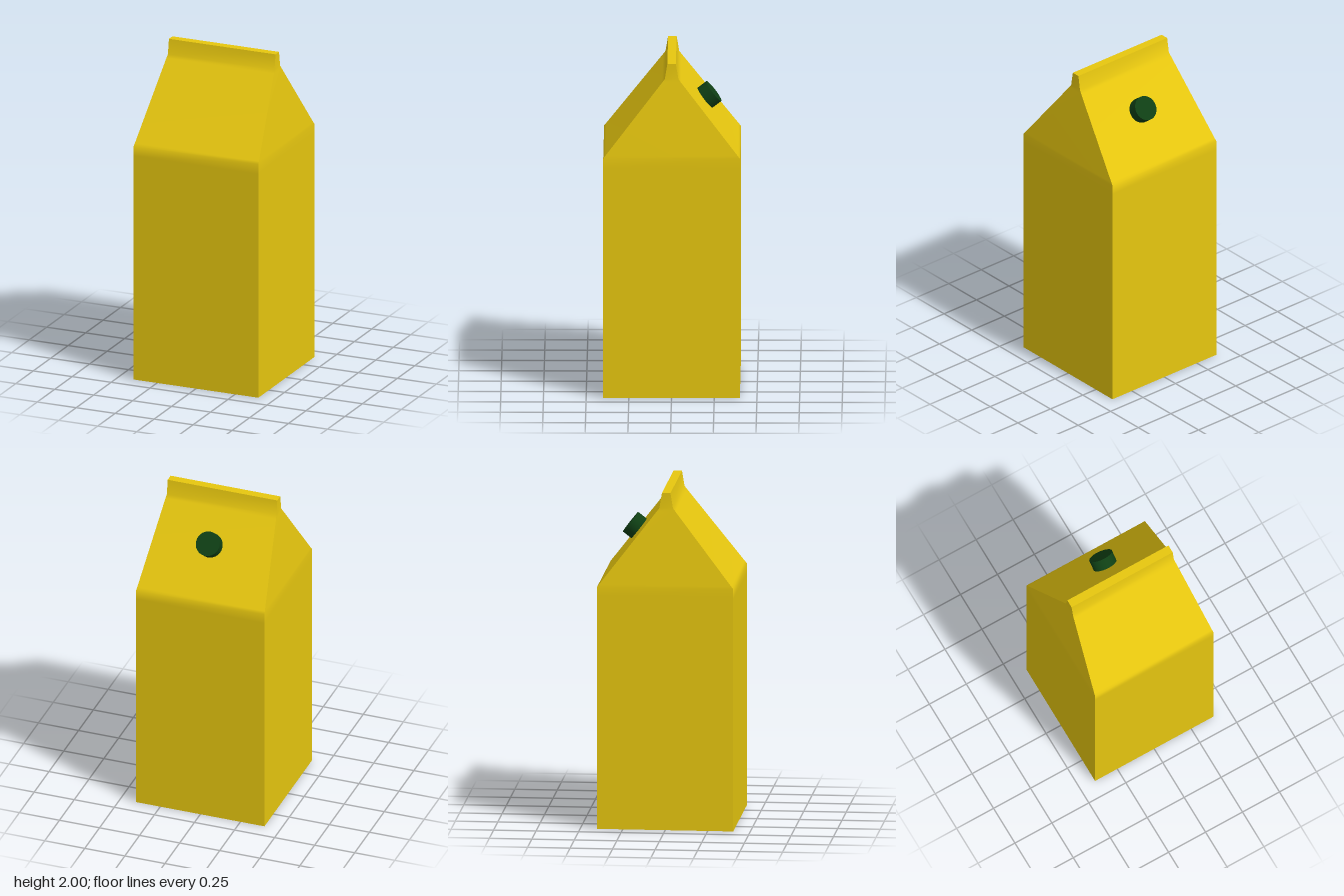
import * as THREE from 'three';
import { toCreasedNormals } from 'three/addons/utils/BufferGeometryUtils.js';

// Carton cross-sections from bottom to top: [height, half width, half depth].
// Close pairs of loops keep the folds tight but softly shaded.
const LOOPS = [
  [0, 0.4, 0.4],
  [1.385, 0.4, 0.4],
  [1.445, 0.4, 0.4],
  [1.46, 0.398, 0.388],
  [1.89, 0.345, 0.055],
  [1.91, 0.342, 0.04],
  [2, 0.342, 0.025],
];

function cartonGeometry() {
  const rows = LOOPS.length - 1;
  const box = new THREE.BoxGeometry(2, 2, 2, 1, rows, 1);
  const pos = box.attributes.position;
  // Fit each row of the unit box to its cross-section
  for (let i = 0; i < pos.count; i++) {
    const row = Math.round(((pos.getY(i) + 1) / 2) * rows);
    const [y, w, d] = LOOPS[row];
    pos.setXYZ(i, Math.sign(pos.getX(i)) * w, y, Math.sign(pos.getZ(i)) * d);
  }
  return toCreasedNormals(box, Math.PI / 3);
}

export function createModel() {
  const group = new THREE.Group();
  group.name = 'drinkCarton';

  // Folded carton with gabled top and ridge
  const carton = new THREE.Mesh(
    cartonGeometry(),
    new THREE.MeshStandardMaterial({ color: 0xe6c60f })
  );
  carton.name = 'carton';
  group.add(carton);

  // Round screw cap standing on the rear slope
  const cap = new THREE.Mesh(
    new THREE.CylinderGeometry(0.073, 0.073, 0.064, 48),
    new THREE.MeshStandardMaterial({ color: 0x0f3f14 })
  );
  cap.name = 'screwCap';
  cap.position.set(0.011, 1.736, -0.22);
  cap.rotation.x = -0.91;
  group.add(cap);

  return group;
}
